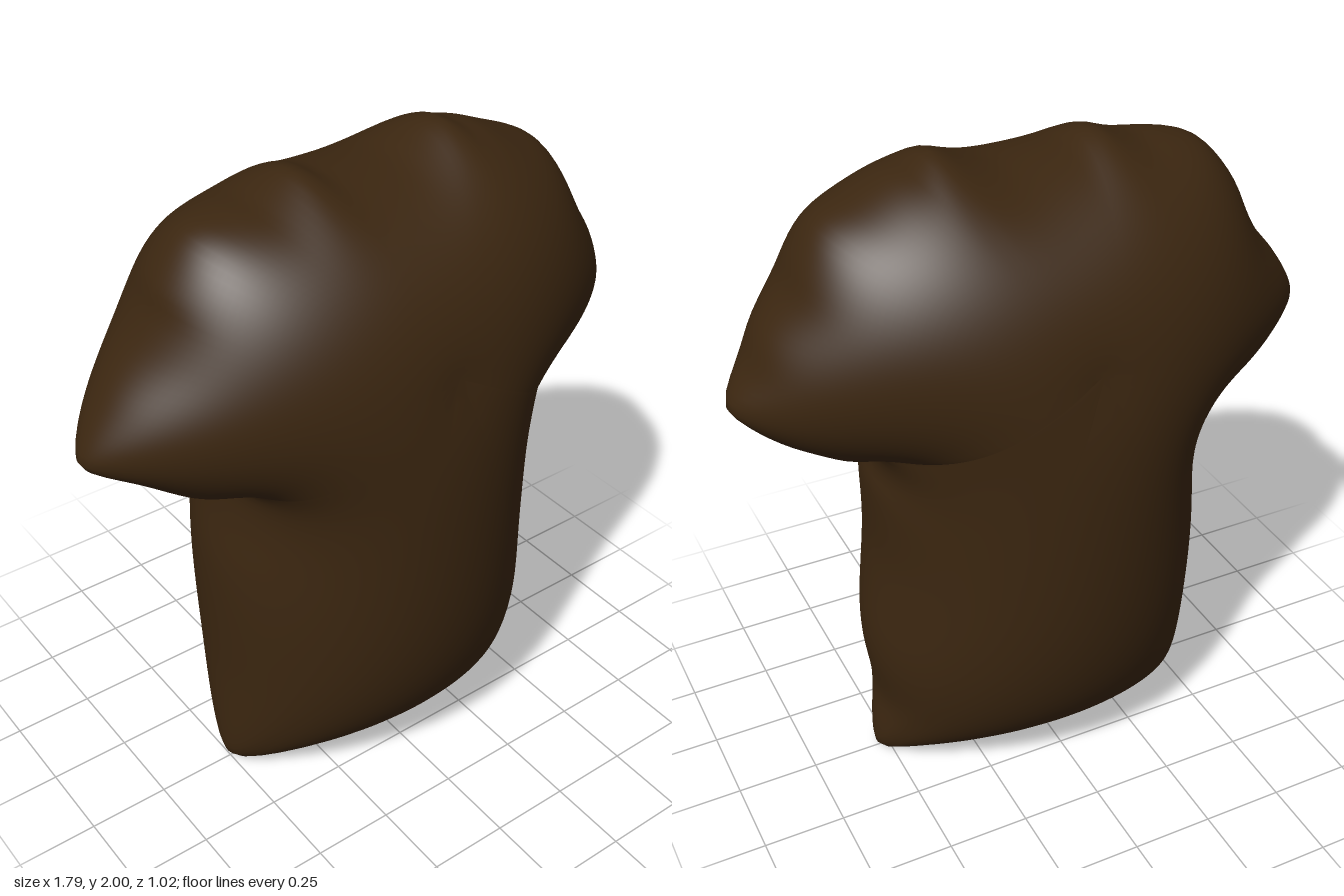
import * as THREE from 'three';

// Shirt outline, counter-clockwise from the lower left-hand hem corner (+x)
const OUTLINE = [
  [0.54, 0.02], [0.54, 0.1], [0.52, 0.22], [0.54, 0.4], [0.54, 0.5], [0.505, 0.78],
  [0.505, 1.03], [0.495, 1.08], [0.505, 1.15], [0.535, 1.185], [0.57, 1.17], [0.6, 1.157],
  [0.65, 1.195], [0.78, 1.27], [0.87, 1.35], [0.89, 1.38], [0.885, 1.41], [0.83, 1.5],
  [0.79, 1.59], [0.71, 1.7], [0.67, 1.79], [0.61, 1.87], [0.49, 1.925], [0.39, 1.965],
  [0.34, 1.975], [0.285, 2.0], [0.18, 1.965], [0.1, 1.945], [-0.05, 1.945], [-0.13, 1.955],
  [-0.17, 1.975], [-0.21, 1.98], [-0.26, 1.96], [-0.34, 1.935], [-0.42, 1.93], [-0.53, 1.9],
  [-0.63, 1.78], [-0.65, 1.72], [-0.7, 1.63], [-0.8, 1.51], [-0.88, 1.385], [-0.895, 1.335],
  [-0.88, 1.315], [-0.77, 1.25], [-0.61, 1.14], [-0.56, 1.13], [-0.52, 1.15], [-0.49, 1.14],
  [-0.48, 1.1], [-0.485, 1.0], [-0.51, 0.81], [-0.51, 0.4], [-0.51, 0.03], [-0.49, 0.01],
  [-0.4, 0.01], [-0.32, 0.022], [0, 0.025], [0.25, 0.025], [0.4, 0.015], [0.52, 0.002],
];
const SPOKES = 240, RINGS = 36, CENTRE_Y = 1.5, DEPTH = 0.512;

// Flat disc mesh: rings between a centre point and the outline, closer together at the rim
function flatMesh() {
  const curve = new THREE.CatmullRomCurve3(
    OUTLINE.map(([x, y]) => new THREE.Vector3(x, y, 0)), true, 'centripetal');
  curve.arcLengthDivisions = 1500;
  const rim = curve.getSpacedPoints(SPOKES).slice(0, SPOKES);
  const points = [[0, CENTRE_Y]], tris = [];
  for (let k = 1; k <= RINGS; k++) {
    const t = Math.sin((Math.PI / 2) * (k / RINGS));
    for (const p of rim) points.push([p.x * t, CENTRE_Y + (p.y - CENTRE_Y) * t]);
  }
  const id = (k, i) => 1 + (k - 1) * SPOKES + (i % SPOKES);
  for (let i = 0; i < SPOKES; i++) {
    tris.push([0, id(1, i), id(1, i + 1)]);
    for (let k = 1; k < RINGS; k++) {
      const a = id(k, i), b = id(k + 1, i), c = id(k + 1, i + 1), d = id(k, i + 1);
      tris.push([a, b, c], [a, c, d]);
    }
  }
  return { points, tris, inner: 1 + (RINGS - 1) * SPOKES };
}

// Inflate like a pressurised membrane: the depth is the root of the membrane height
function inflate({ points, tris, inner }) {
  const links = points.map(() => new Map());
  const load = new Float64Array(points.length);
  const link = (a, b, w) => {
    links[a].set(b, (links[a].get(b) || 0) + w);
    links[b].set(a, (links[b].get(a) || 0) + w);
  };
  for (const t of tris) {
    for (let e = 0; e < 3; e++) {
      const o = t[e], a = t[(e + 1) % 3], b = t[(e + 2) % 3];
      const ux = points[a][0] - points[o][0], uy = points[a][1] - points[o][1];
      const vx = points[b][0] - points[o][0], vy = points[b][1] - points[o][1];
      const cross = Math.max(Math.abs(ux * vy - uy * vx), 1e-9);
      link(a, b, (0.5 * (ux * vx + uy * vy)) / cross);
      load[o] += cross / 6;
    }
  }
  const rows = links.slice(0, inner).map((m) => {
    const weights = [...m.values()];
    return { ids: [...m.keys()], weights, sum: weights.reduce((s, w) => s + w, 0) };
  });
  const h = new Float64Array(points.length);
  for (let pass = 0; pass < 1500; pass++) {
    for (let i = 0; i < inner; i++) {
      const { ids, weights, sum } = rows[i];
      let s = load[i];
      for (let j = 0; j < ids.length; j++) s += weights[j] * h[ids[j]];
      h[i] += 1.9 * (s / sum - h[i]);
    }
  }
  const peak = h.reduce((m, v) => Math.max(m, v), 0);
  return Array.from(h, (v) => DEPTH * Math.sqrt(Math.max(v, 0) / peak));
}

export function createModel() {
  const flat = flatMesh();
  const depth = inflate(flat);
  const n = flat.points.length, { inner } = flat;

  // Front half, then the mirrored back half sharing the rim
  const positions = [], index = [];
  flat.points.forEach(([x, y], i) => positions.push(x, y, depth[i]));
  for (let i = 0; i < inner; i++) positions.push(flat.points[i][0], flat.points[i][1], -depth[i]);
  const back = (i) => (i < inner ? n + i : i);
  for (const [a, b, c] of flat.tris) index.push(a, b, c, back(a), back(c), back(b));

  const geometry = new THREE.BufferGeometry();
  geometry.setAttribute('position', new THREE.Float32BufferAttribute(positions, 3));
  geometry.setIndex(index);
  geometry.computeVertexNormals();

  const material = new THREE.MeshStandardMaterial({ color: 0x3b2610 });
  material.name = 'dark brown cloth';
  const shirt = new THREE.Mesh(geometry, material);
  shirt.name = 'shirt';
  const group = new THREE.Group();
  group.name = 'puffyShirt';
  group.add(shirt);
  return group;
}
